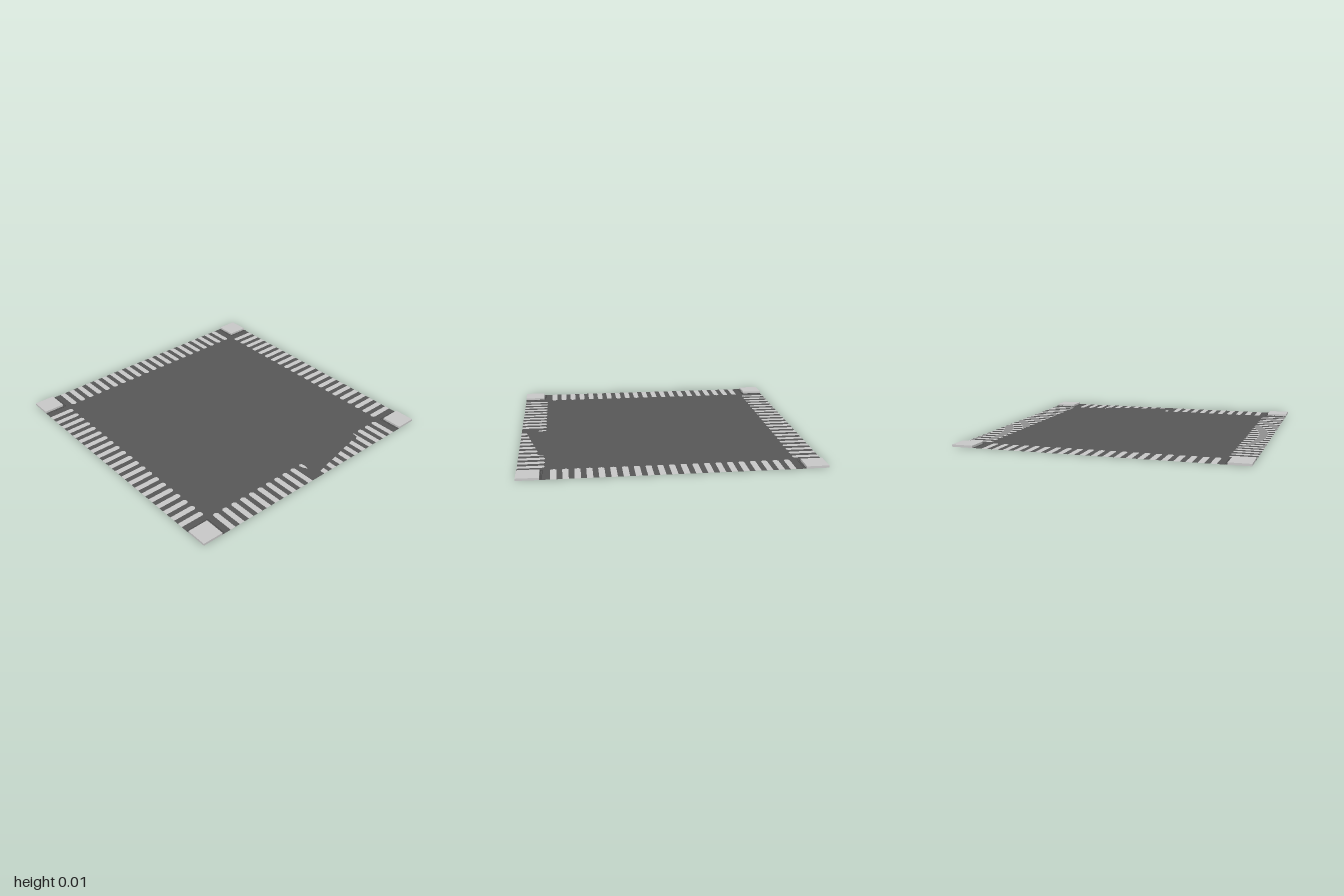
import * as THREE from 'three';

const asphalt = new THREE.MeshStandardMaterial({ color: 0x575757, side: THREE.DoubleSide });
asphalt.name = 'asphalt';
const paint = new THREE.MeshStandardMaterial({ color: 0xc6c6c6, side: THREE.DoubleSide });
paint.name = 'light paint and concrete';
const gutterGrey = new THREE.MeshStandardMaterial({ color: 0x3c3c3c, side: THREE.DoubleSide });
gutterGrey.name = 'gutter grey';

const PITCH = 0.0765, HALF = 0.02, INNER = 0.82, CORNER = 0.852, HEIGHT = 0.015;

// Turns a point (v outward, u along the edge) to edge k, counting round from +x
function turn(v, u, k) {
  const c = [1, 0, -1, 0][k], s = [0, 1, 0, -1][k];
  return new THREE.Vector2(v * c - u * s, v * s + u * c);
}

// Outline of one crossing bar, from the tile edge inward and back again
function barPoints(i, k) {
  const u = i * PITCH;
  let end = [];
  if (k === 0 && i > 0 && i < 7) {
    // worn bars are cut along a slanting line
    const start = 0.975 - 0.0165 * i;
    end = [[start + 0.004, u - HALF], [start - 0.004, u + HALF]];
  } else if (k === 0 && i === 7) {
    end = [[0.88, u - HALF], [0.86, u + 0.007], [INNER, u + 0.012], [INNER + 0.005, u + HALF]];
  } else {
    for (let j = 0; j <= 6; j++) {
      const a = -Math.PI / 2 + j * Math.PI / 6;
      end.push([INNER + 0.016 * (1 - Math.cos(a)), u + HALF * Math.sin(a)]);
    }
  }
  return [[1, u - HALF], ...end, [1, u + HALF]].map(([v, w]) => turn(v, w, k));
}

function flat(name, shape, material, y = 0) {
  const geometry = new THREE.ShapeGeometry(shape);
  geometry.rotateX(-Math.PI / 2);
  const mesh = new THREE.Mesh(geometry, material);
  mesh.name = name;
  mesh.position.y = y;
  return mesh;
}

export function createModel() {
  const model = new THREE.Group();
  model.name = 'roadCrossing';
  const bars = new THREE.Group();
  bars.name = 'crossingBars';
  const corners = new THREE.Group();
  corners.name = 'pavementCorners';
  model.add(bars, corners);

  // Road surface, notched where the bars and corners fit into it
  const outline = [];
  for (let k = 0; k < 4; k++) {
    outline.push(turn(CORNER, -CORNER, k), turn(1, -CORNER, k));
    for (let i = -10; i <= 10; i++) {
      if (k === 0 && i === 0) continue;
      const points = barPoints(i, k);
      outline.push(...points);
      bars.add(flat('crossingBar', new THREE.Shape(points), paint));
    }
    outline.push(turn(1, CORNER, k));
  }
  const road = new THREE.Shape(outline);

  // Remnant of the worn-away middle bar
  const remnant = [[0.822, -0.008], [0.835, -0.014], [0.865, -0.006], [0.89, 0.01], [0.86, 0.018], [0.825, 0.014]]
    .map(([x, y]) => new THREE.Vector2(x, y));
  road.holes.push(new THREE.Path(remnant));
  bars.add(flat('wornBar', new THREE.Shape(remnant), paint));
  model.add(flat('roadSurface', road, asphalt));

  // Raised pavement corners with fine gutter lines round their inner edges
  const size = 1 - CORNER;
  for (const sx of [-1, 1]) {
    for (const sz of [-1, 1]) {
      const corner = new THREE.Group();
      corner.name = 'pavementCorner';
      const slab = new THREE.Mesh(new THREE.BoxGeometry(size, HEIGHT, size), paint);
      slab.name = 'pavementSlab';
      slab.position.set(sx * (1 - size / 2), HEIGHT / 2, sz * (1 - size / 2));
      corner.add(slab);
      for (const inner of [0.845, 0.835]) {
        const length = 1 - inner, width = 0.003;
        for (const alongX of [true, false]) {
          const line = new THREE.Mesh(
            new THREE.PlaneGeometry(alongX ? length : width, alongX ? width : length), gutterGrey);
          line.name = 'gutterLine';
          line.rotation.x = -Math.PI / 2;
          const mid = 1 - length / 2;
          line.position.set(sx * (alongX ? mid : inner), 0.002, sz * (alongX ? inner : mid));
          corner.add(line);
        }
      }
      corners.add(corner);
    }
  }
  return model;
}
